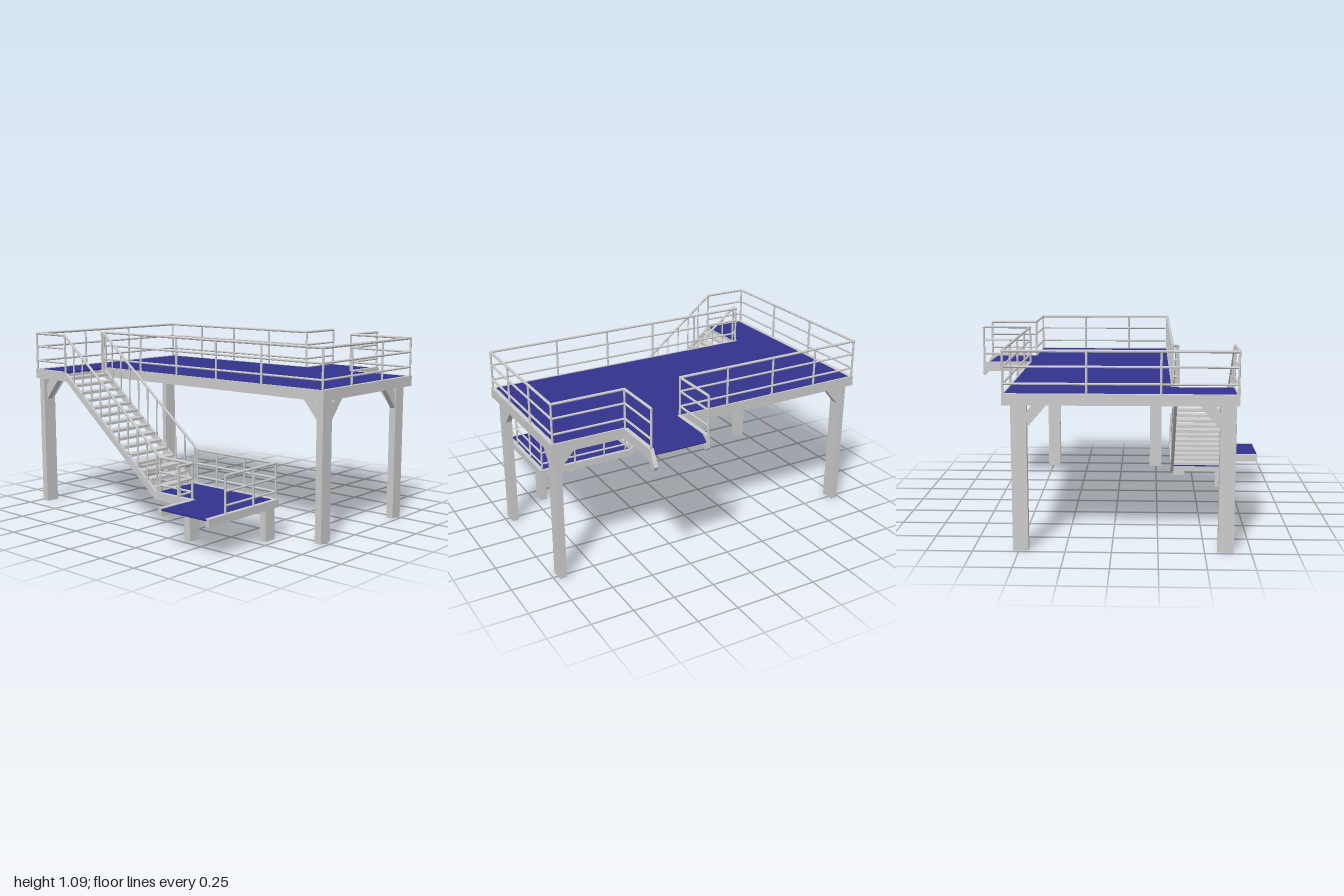
import * as THREE from 'three';

const grey = new THREE.MeshStandardMaterial({ color: 0xcccccc, flatShading: true });
const blue = new THREE.MeshStandardMaterial({ color: 0x32328c, flatShading: true, side: THREE.DoubleSide });
const V = (x, y, z) => new THREE.Vector3(x, y, z);

export function createModel() {
  const model = new THREE.Group();
  let part = model;
  const section = (name) => { part = new THREE.Group(); part.name = name; model.add(part); };

  const add = (name, geo, mat = grey) => {
    const m = new THREE.Mesh(geo, mat);
    m.name = name;
    part.add(m);
    return m;
  };
  // box given by its extents
  const box = (name, x0, x1, y0, y1, z0, z1, mat) =>
    add(name, new THREE.BoxGeometry(x1 - x0, y1 - y0, z1 - z0), mat)
      .position.set((x0 + x1) / 2, (y0 + y1) / 2, (z0 + z1) / 2);
  // round bar between two points
  const bar = (name, a, b, r = 0.0065) => {
    const d = b.clone().sub(a);
    const m = add(name, new THREE.CylinderGeometry(r, r, d.length(), 8));
    m.position.copy(a).add(b).multiplyScalar(0.5);
    m.quaternion.setFromUnitVectors(V(0, 1, 0), d.normalize());
  };
  // outline in x,y extruded along z; with side = true the outline is in z,y and extruded along x
  const plate = (name, pts, start, depth, side = false, mat = grey) => {
    const shape = new THREE.Shape(pts.map(([u, v]) => new THREE.Vector2(side ? -u : u, v)));
    const geo = new THREE.ExtrudeGeometry(shape, { depth, bevelEnabled: false });
    if (side) geo.rotateY(Math.PI / 2);
    geo.translate(side ? start : 0, 0, side ? 0 : start);
    return add(name, geo, mat);
  };
  // railing along corner points [x, z]; stops holds extra upright positions
  const railing = (path, floor, heights, stops) => {
    const top = heights[heights.length - 1];
    for (let i = 0; i + 1 < path.length; i++)
      for (const h of heights)
        bar('handrail', V(path[i][0], h, path[i][1]), V(path[i + 1][0], h, path[i + 1][1]), h === top ? 0.008 : 0.0065);
    for (const [x, z] of [...path, ...stops]) bar('railPost', V(x, floor, z), V(x, top, z));
  };

  // Upper platform: floor plates and edge beams
  section('upperPlatform');
  const B = 0.80, T = 0.86, W = 0.025;
  box('deckFloor', -0.32, 0.565, 0.845, 0.857, -0.985, 0.985, blue);
  box('deckFloor', -0.66, -0.32, 0.845, 0.857, -0.985, -0.735, blue);
  box('bayFloor', 0.565, 0.83, 0.845, 0.857, 0.235, 0.56, blue);
  plate('bayLip', [[0.83, 0.857], [0.83, 0.845], [0.865, 0.815], [0.875, 0.825]], 0.235, 0.325, false, blue);
  box('frontBeam', -0.33, 0.575, B, T, 1 - W, 1);
  box('backBeam', -0.67, 0.575, B, T, -1, -1 + W);
  box('leftBeam', 0.575 - W, 0.575, B, 0.844, -1 + W, 1 - W);
  box('leftCurb', 0.565, 0.575, 0.844, T, -1 + W, 0.235);
  box('leftCurb', 0.565, 0.575, 0.844, T, 0.56, 1 - W);
  box('rightBeam', -0.33, -0.33 + W, B, 0.844, -0.735, 1 - W);
  box('rightCurb', -0.33, -0.318, 0.844, T, -0.735, 1 - W);
  box('backRightBeam', -0.67, -0.67 + W, B, 0.844, -1 + W, -0.73);
  box('backRightCurb', -0.67, -0.658, 0.844, T, -1 + W, -0.73);
  box('crossBeam', -0.645, 0.55, B, 0.844, -0.755, -0.73);
  box('crossBeam', -0.305, 0.55, B, 0.844, -0.42, -0.395);

  // Side bay beams with hooked ends
  plate('bayBeamFront', [[0.575, B], [0.85, B], [0.91, 0.75], [0.922, 0.775], [0.87, T], [0.575, T]], 0.553, 0.024);
  plate('bayBeamBack', [[0.575, B], [0.835, B], [0.865, 0.77], [0.877, 0.785], [0.87, T], [0.575, T]], 0.212, 0.024);

  // Main posts with diagonal braces
  section('mainPosts');
  for (const [x, z] of [[-0.247, 0.95], [0.49, 0.95], [-0.613, -0.962], [0.49, -0.962]]) {
    box('mainPost', x - 0.042, x + 0.042, 0, B, z - 0.021, z + 0.021);
    const sx = x > 0 ? -1 : 1, sz = z > 0 ? -1 : 1;
    const brace = (c, s, off) => {
      const p = [[c + s * off, 0.66], [c + s * (off + 0.12), B], [c + s * (off + 0.045), B], [c + s * off, 0.75]];
      return s > 0 ? p : p.reverse();
    };
    plate('sideBrace', brace(x, sx, 0.03), z - 0.016, 0.032);
    plate('longBrace', brace(z, sz, 0.015), x - 0.02, 0.04, true);
  }

  // Upper railings
  section('upperRailings');
  const high = [0.913, 1.003, 1.085];
  railing([[0.867, 0.565], [0.568, 0.565], [0.568, 0.99], [-0.323, 0.99], [-0.323, -0.722], [-0.355, -0.722]], T - 0.02, high,
    [[0.26, 0.99], [-0.05, 0.99], [-0.323, 0.57], [-0.323, 0.23], [-0.323, -0.09], [-0.323, -0.4]]);
  railing([[0.867, 0.222], [0.568, 0.222], [0.568, -0.99], [-0.663, -0.99], [-0.663, -0.715]], T - 0.02, high,
    [[0.568, -0.09], [0.568, -0.4], [0.568, -0.7], [0.13, -0.99], [-0.26, -0.99]]);

  // Lower landing
  section('lowerLanding');
  const b = 0.18, t = 0.225;
  box('landingFloor', -0.655, -0.35, 0.212, 0.222, 0.075, 0.7, blue);
  box('landingFloor', -0.92, -0.655, 0.212, 0.222, 0.365, 0.7, blue);
  box('landingFrontBeam', -0.92, -0.338, b, t, 0.69, 0.715);
  box('landingInnerBeam', -0.36, -0.338, b, t, 0.08, 0.69);
  box('landingOuterBeam', -0.675, -0.652, b, t, 0.08, 0.372);
  box('landingBackBeam', -0.92, -0.652, b, t, 0.346, 0.372);
  box('landingStairBeam', -0.652, -0.36, b, 0.211, 0.08, 0.1);
  box('landingLeg', -0.45, -0.37, 0, b, 0.67, 0.71);
  box('landingLeg', -0.72, -0.64, 0, b, 0.35, 0.39);

  // Landing railings
  section('landingRailings');
  const low = [0.268, 0.345, 0.43];
  railing([[-0.775, 0.7], [-0.35, 0.7], [-0.35, 0.105]], t - 0.02, low, [[-0.545, 0.7], [-0.35, 0.47], [-0.35, 0.26]]);
  railing([[-0.775, 0.358], [-0.664, 0.358], [-0.664, 0.105]], t - 0.02, low, [[-0.664, 0.26]]);

  // Stairs: stringers, open treads, sloped handrails and balusters
  section('stairs');
  const slope = 0.8;
  const nose = (z) => 0.215 + (0.09 - z) * slope;
  for (const x of [-0.672, -0.356]) {
    plate('stringer', [[0.1, b], [0.1, t], [0.075, t], [-0.705, 0.85], [-0.735, 0.85], [-0.735, B], [-0.70, B], [0.07, b]],
      x, 0.018, true);
    const rx = x + 0.009;
    const railY = (z) => 0.43 + (0.105 - z) * 0.8;
    bar('stairHandrail', V(rx, railY(0.105), 0.105), V(rx, 1.085, -0.715), 0.008);
    for (let i = 0; i <= 10; i++) {
      const z = 0.08 - i * 0.0795;
      bar('baluster', V(rx, nose(z) - 0.02, z), V(rx, railY(z), z), 0.005);
    }
  }
  const n = 15;
  for (let i = 0; i < n; i++) {
    const z = 0.05 - i * 0.0535, y = t + (i + 0.6) * 0.0413;
    box('tread', -0.656, -0.354, y - 0.016, y, z - 0.034, z + 0.028);
  }
  return model;
}
